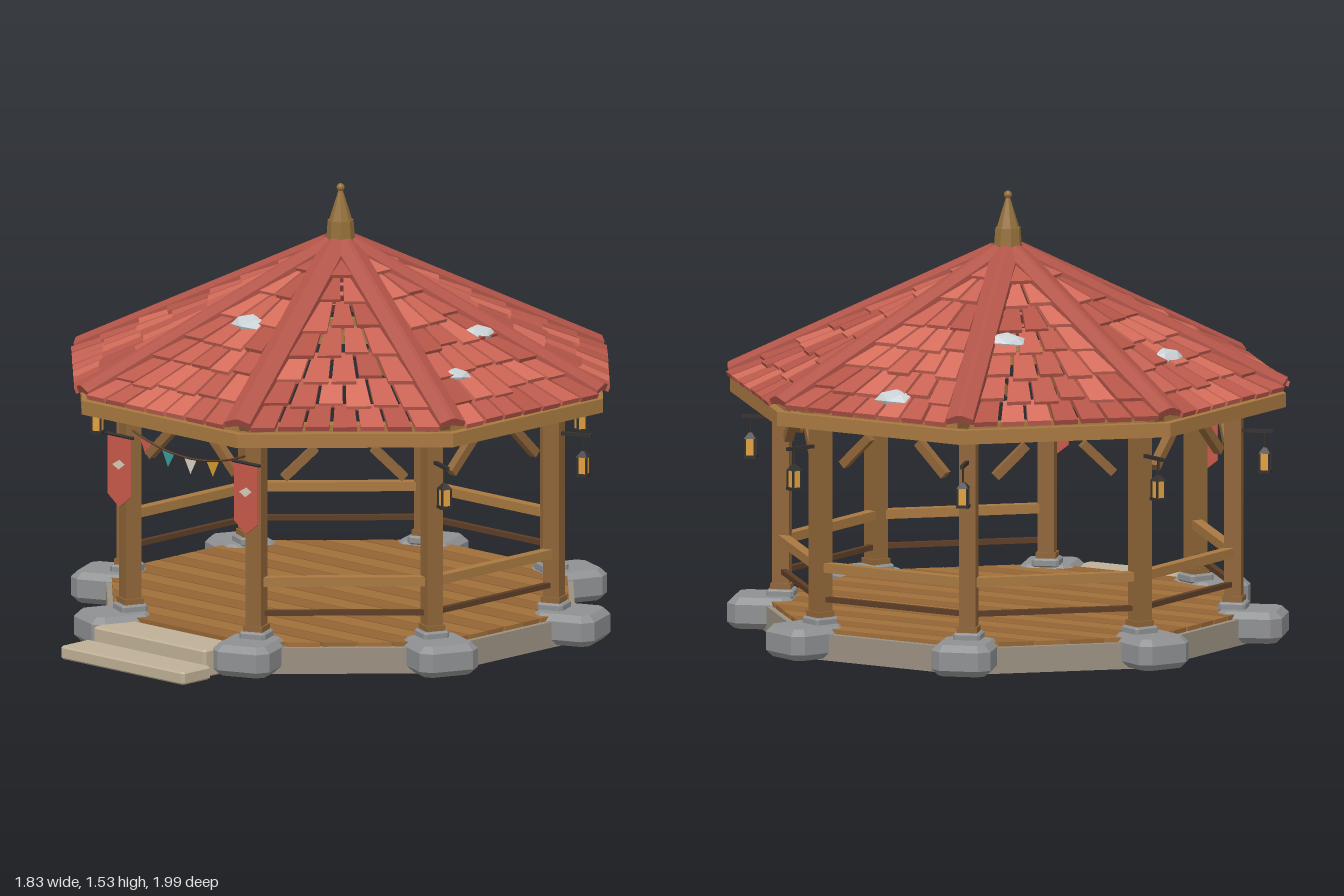
import * as THREE from 'three';

const mat = (color, extra = {}) => new THREE.MeshStandardMaterial({ color, flatShading: true, ...extra });
const WOOD = mat(0x8f6538), BEAM = mat(0xa87840), DARK = mat(0x5c3d26), PLANK = [mat(0xa06f3a), mat(0x946535)];
const STONE = mat(0x8f9092), BASE = mat(0x9a9080), STEP = mat(0xbfb096), IRON = mat(0x33302e), GLASS = mat(0xe0a040);
const TILES = [mat(0xc96354), mat(0xbd5b4d), mat(0xd56d5c), mat(0xb45548)], HIP = mat(0xb25448);
const BRASS = mat(0x94703a), SNOW = mat(0xc9d0d4), CLOTH = mat(0xc95a4c, { side: THREE.DoubleSide });

let seed = 7;
const rnd = () => (seed = (seed * 16807) % 2147483647) / 2147483647;

function add(parent, name, geo, material, x = 0, y = 0, z = 0) {
  const m = new THREE.Mesh(geo, material);
  m.name = name;
  m.position.set(x, y, z);
  parent.add(m);
  return m;
}
const box = (w, h, d) => new THREE.BoxGeometry(w, h, d);
const cyl = (a, b, h, n = 8) => new THREE.CylinderGeometry(a, b, h, n);
const prism = (pts, depth, opt = {}) => new THREE.ExtrudeGeometry(
  new THREE.Shape(pts.map(p => new THREE.Vector2(...p))), { depth, bevelEnabled: false, ...opt });
const flat = pts => new THREE.ShapeGeometry(new THREE.Shape(pts.map(p => new THREE.Vector2(...p))));

// Block with all edges chamfered by b, centred
function chamferBox(w, h, d, b) {
  const x = w / 2 - b, z = d / 2 - b, c = b;
  const pts = [[-x + c, -z], [x - c, -z], [x, -z + c], [x, z - c], [x - c, z], [-x + c, z], [-x, z - c], [-x, -z + c]];
  return prism(pts, h - 2 * b, { bevelEnabled: true, bevelSize: b, bevelThickness: b, bevelSegments: 1 })
    .translate(0, 0, -(h - 2 * b) / 2).rotateX(-Math.PI / 2);
}
// Group turned about the centre: local +z points outward
function sector(parent, name, angle) {
  const g = new THREE.Group();
  g.name = name;
  g.rotation.y = angle;
  parent.add(g);
  return g;
}

const T8 = Math.tan(Math.PI / 8), SLOPE = 0.518, PITCH = Math.atan(SLOPE);
const roofY = a => 1.335 - SLOPE * a;

// Stone base, plank floor and two steps
function buildFloor(g) {
  add(g, 'base', cyl(0.86, 0.86, 0.09).rotateY(Math.PI / 8), BASE, 0, 0.045, 0);
  const n = 18, A = 0.775, w = 2 * A / n;
  const half = z => Math.min(A, A * Math.SQRT2 - Math.abs(z));
  for (let i = 0; i < n; i++) {
    const a = -A + i * w + 0.004, b = a + w - 0.008;
    const pts = [[-half(a), a], [half(a), a], [half(b), b], [-half(b), b]];
    add(g, 'floorPlank', prism(pts, 0.02).rotateX(Math.PI / 2), PLANK[i % 2], 0, 0.105, 0);
  }
  add(g, 'lowerStep', chamferBox(0.585, 0.045, 0.14, 0.006), STEP, 0, 0.0225, 1.003);
  add(g, 'upperStep', chamferBox(0.53, 0.095, 0.16, 0.006), STEP, 0, 0.0475, 0.859);
}

// Hanging lantern on an iron arm
function buildLantern(g) {
  const l = new THREE.Group();
  l.name = 'lantern';
  l.position.set(0, 0, 0.888);
  g.add(l);
  add(l, 'arm', box(0.012, 0.012, 0.12), IRON, 0, 0.725, -0.03);
  add(l, 'hanger', cyl(0.004, 0.004, 0.06, 5), IRON, 0, 0.695, 0);
  add(l, 'cap', cyl(0.008, 0.029, 0.02, 4).rotateY(Math.PI / 4), IRON, 0, 0.66, 0);
  add(l, 'glass', box(0.03, 0.058, 0.03), GLASS, 0, 0.62, 0);
  add(l, 'foot', box(0.042, 0.01, 0.042), IRON, 0, 0.587, 0);
  for (const x of [-1, 1]) for (const z of [-1, 1])
    add(l, 'frameBar', box(0.006, 0.065, 0.006), IRON, x * 0.016, 0.62, z * 0.016);
}

// Corner: pier stone, post, hip rafter and ridge cap
function buildCorner(g, k) {
  const pier = add(g, 'pierStone', chamferBox(0.205 + 0.015 * rnd(), 0.108, 0.235, 0.022), STONE, 0, 0.06, 0.84);
  pier.rotation.y = (rnd() - 0.5) * 0.08;
  add(g, 'postFooting', chamferBox(0.095, 0.03, 0.095, 0.006), STONE, 0, 0.122, 0.78);
  add(g, 'postCollar', box(0.07, 0.02, 0.07), WOOD, 0, 0.146, 0.78);
  add(g, 'post', box(0.058, 0.70, 0.058), WOOD, 0, 0.485, 0.78);
  const slope = Math.atan(SLOPE * Math.cos(Math.PI / 8));
  const len = 0.91 / Math.cos(slope);
  const chevron = [[-0.046, -0.012], [0, -0.003], [0.046, -0.012], [0.046, 0.01], [0.008, 0.026], [-0.008, 0.026], [-0.046, 0.01]];
  add(g, 'hipCap', prism(chevron, len), HIP, 0, roofY(0.045) + 0.012, 0.045).rotation.x = slope;
  add(g, 'hipRafter', box(0.035, 0.035, len * 0.95).translate(0, -0.03, len * 0.48), WOOD, 0, roofY(0.04), 0.045).rotation.x = slope;
  if (k !== 0 && k !== 7) buildLantern(g);
}

// Side: beams, braces, rails and shingles
function buildSide(g, k) {
  add(g, 'eaveBeam', box(0.735, 0.048, 0.03), BEAM, 0, 0.834, 0.872);
  add(g, 'ringBeam', box(0.6, 0.05, 0.05), BEAM, 0, 0.832, 0.72);
  for (const s of [-1, 1])
    add(g, 'kneeBrace', box(0.15, 0.03, 0.03), WOOD, s * 0.152, 0.72, 0.72).rotation.z = -s * 0.77;
  if (k !== 0) {
    add(g, 'handRail', box(0.57, 0.032, 0.036), BEAM, 0, 0.307, 0.72);
    add(g, 'lowerRail', box(0.57, 0.018, 0.02), DARK, 0, 0.197, 0.72);
  }
  const rows = 7, step = 0.12, half = a => Math.max(0.012, a * T8 - 0.045);
  for (let r = 0; r < rows; r++) {
    const a0 = 0.06 + r * step, a1 = a0 + step;
    const n = Math.max(1, Math.round(2 * half(a1) / 0.097));
    for (let i = 0; i < n; i++) {
      const e = r === rows - 1 ? 0 : 0.035 * rnd(), end = a1 + e;
      const L = (end - a0) / Math.cos(PITCH), gap = n > 1 ? 0.006 : 0;
      const x = (f, a) => (2 * f / n - 1) * half(a);
      const pts = [[x(i, end) + gap, -L], [x(i + 1, end) - gap, -L], [x(i + 1, a0) - gap, 0], [x(i, a0) + gap, 0]];
      const tile = add(g, 'shingle', prism(pts, 0.018), TILES[Math.floor(rnd() * 4)], 0, roofY(a0) - 0.008, a0);
      tile.rotation.x = -(Math.PI / 2 - PITCH + 0.07 + 0.03 * rnd());
    }
  }
}

// Banner hung from a rod on a front post
function buildBanner(g, x) {
  const b = new THREE.Group();
  b.name = 'banner';
  b.position.set(x, 0, 0.772);
  g.add(b);
  add(b, 'bannerRod', cyl(0.006, 0.006, 0.13, 6).rotateZ(Math.PI / 2), IRON, 0, 0.728, 0);
  add(b, 'bannerCloth', prism([[-0.054, 0.725], [-0.054, 0.52], [0, 0.48], [0.054, 0.52], [0.054, 0.725]], 0.006), CLOTH, 0, 0, -0.003);
  add(b, 'bannerPatch', flat([[-0.03, 0.625], [0, 0.61], [0.03, 0.632], [0.005, 0.645]]), mat(0xd8cdbc, { side: THREE.DoubleSide }), 0, 0, 0.005);
}

// Sagging string of pennants between the front posts
function buildBunting(g) {
  const sag = x => 0.69 + 0.05 * (x / 0.26) ** 2, z = 0.735;
  const pts = [];
  for (let i = -4; i <= 4; i++) pts.push(new THREE.Vector3(i * 0.068, sag(i * 0.068), z));
  add(g, 'buntingCord', new THREE.TubeGeometry(new THREE.CatmullRomCurve3(pts), 24, 0.004, 5), DARK);
  [0xc95a4c, 0x3a9a9a, 0xd8d0c4, 0xd09a30, 0xc95a4c].forEach((c, i) => {
    const x = (i - 2) * 0.104, tri = flat([[-0.03, 0], [0, -0.055], [0.03, 0]]);
    add(g, 'pennant', tri, mat(c, { side: THREE.DoubleSide }), x, sag(x), z).rotation.z = 0.35 * x;
  });
}

// Pale flat lumps resting on the roof: x, z, heading, size
function buildLumps(g) {
  const spots = [[-0.05, -0.81, 0, 1], [-0.27, -0.43, 0.6, 0.95], [-0.65, 0, 1.57, 1], [0.54, -0.13, 1.4, 0.9],
    [0.69, 0.14, 1.3, 0.75], [0, 0.455, 0, 1]];
  for (const [x, z, turn, s] of spots) {
    const face = Math.round(Math.atan2(x, z) / (Math.PI / 4)) * Math.PI / 4;
    const a = x * Math.sin(face) + z * Math.cos(face);
    const geo = new THREE.IcosahedronGeometry(1, 0).scale(0.072 * s, 0.02 * s, 0.042 * s).rotateY(turn - face);
    const m = add(g, 'roofLump', geo, SNOW, x, roofY(a) + 0.018, z);
    m.rotation.set(PITCH, face, 0, 'YXZ');
  }
}

// Turned finial at the peak
function buildFinial(g) {
  add(g, 'finialCollar', cyl(0.055, 0.07, 0.025), BRASS, 0, 1.313, 0);
  add(g, 'finialBlock', cyl(0.044, 0.05, 0.085), BRASS, 0, 1.36, 0);
  add(g, 'finialSpire', cyl(0.006, 0.04, 0.11), BRASS, 0, 1.455, 0);
  add(g, 'finialBall', new THREE.SphereGeometry(0.014, 10, 8), BRASS, 0, 1.515, 0);
}

export function createModel() {
  const root = new THREE.Group();
  root.name = 'pavilion';
  const g = new THREE.Group();
  g.name = 'octagon';
  g.position.z = -0.074;
  root.add(g);
  buildFloor(g);
  for (let k = 0; k < 8; k++) {
    buildSide(sector(g, 'side', k * Math.PI / 4), k);
    buildCorner(sector(g, 'corner', (k + 0.5) * Math.PI / 4), k);
  }
  buildBanner(g, -0.3);
  buildBanner(g, 0.3);
  buildBunting(g);
  buildLumps(g);
  buildFinial(g);
  return root;
}
